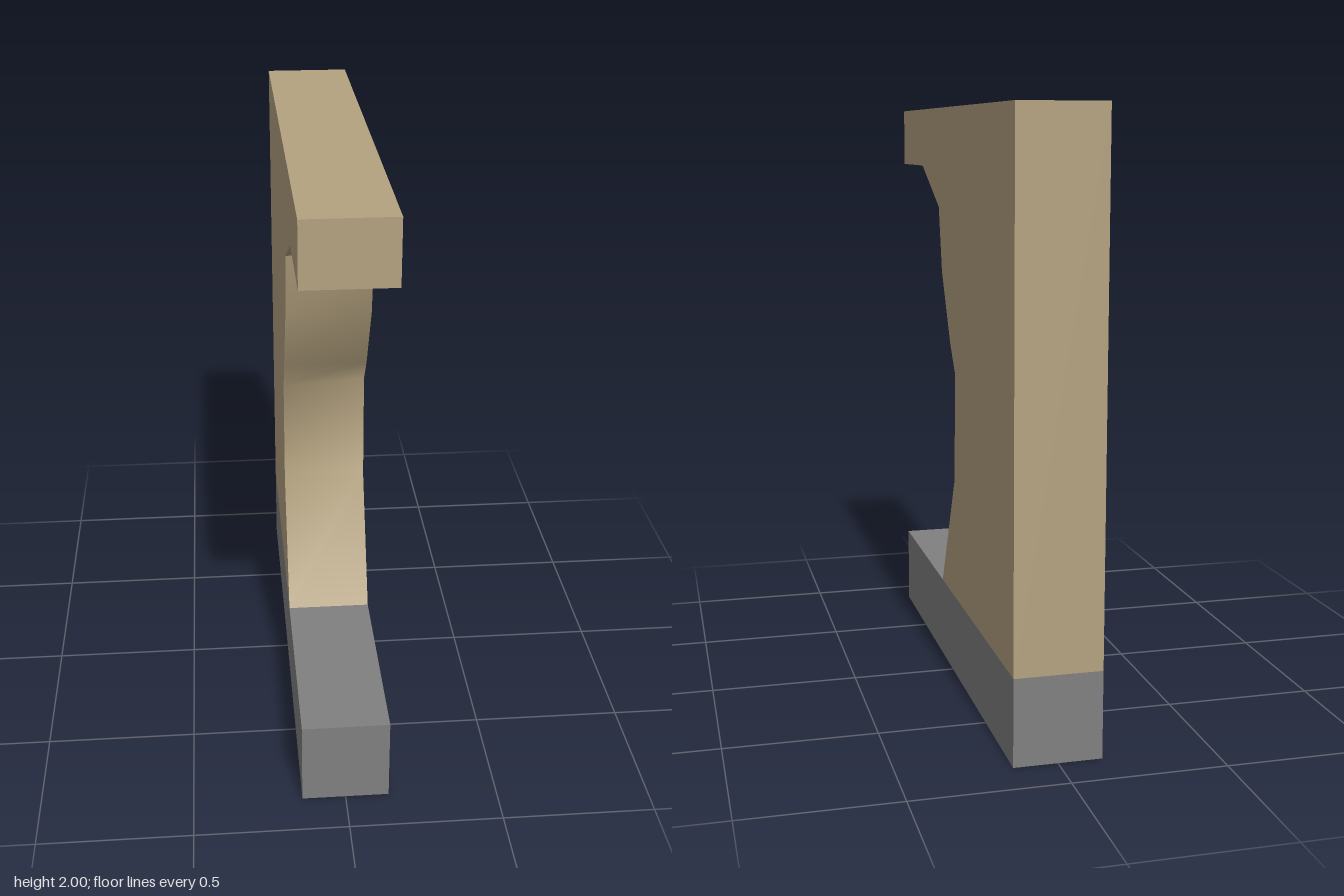
import * as THREE from 'three';
import { toCreasedNormals } from 'three/addons/utils/BufferGeometryUtils.js';

const W = 0.286, D = 1.714, BASE_H = 0.286;

export function createModel() {
  const group = new THREE.Group();
  const tan = new THREE.MeshStandardMaterial({ color: 0xb4a27f });
  const grey = new THREE.MeshStandardMaterial({ color: 0x808080 });

  // Base block, grey with a tan underside
  const base = new THREE.Mesh(
    new THREE.BoxGeometry(W, BASE_H, D),
    [grey, grey, grey, tan, grey, grey]
  );
  base.position.y = BASE_H / 2;
  base.name = 'base';
  group.add(base);

  // Upright with an overhanging top and a hollowed front: profile as (z, y)
  const profile = [
    [-D / 2, BASE_H], [0.17, BASE_H], [-0.042, 0.715], [-0.055, 1.095],
    [0.02, 1.19], [0.152, 1.43], [0.2, 1.655], [0.49, 1.795],
    [D / 2, 1.795], [D / 2, 2], [-D / 2, 2],
  ].map(([z, y]) => new THREE.Vector2(z, y));
  const geometry = new THREE.ExtrudeGeometry(new THREE.Shape(profile), {
    depth: W, bevelEnabled: false,
  });
  geometry.rotateY(-Math.PI / 2).translate(W / 2, 0, 0);

  // The hollow is slightly shallower on the -x side
  const p = geometry.attributes.position;
  for (let i = 0; i < p.count; i++) {
    if (p.getX(i) < 0 && Math.abs(p.getY(i) - 1.095) < 0.001) {
      p.setY(i, 1.085);
      p.setZ(i, -0.038);
    }
  }
  const upright = new THREE.Mesh(toCreasedNormals(geometry, THREE.MathUtils.degToRad(45)), tan);
  upright.name = 'upright';
  group.add(upright);

  return group;
}
